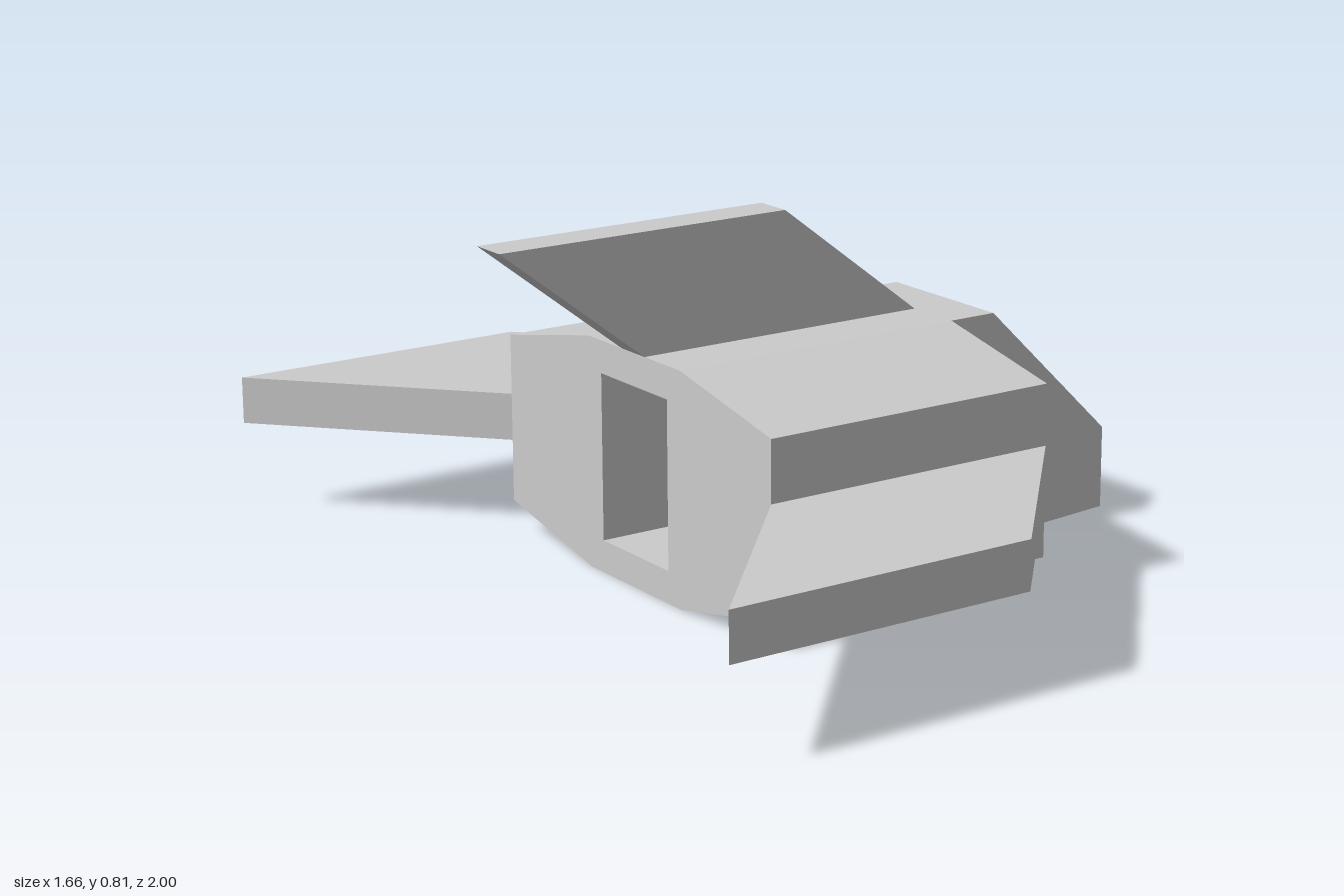
import * as THREE from 'three';

const material = new THREE.MeshStandardMaterial({ color: 0xcccccc, flatShading: true });

const points = (list) => list.map(([a, b]) => new THREE.Vector2(a, b));

function extrude(outline, depth, holes = []) {
  const shape = new THREE.Shape(points(outline));
  for (const hole of holes) shape.holes.push(new THREE.Path(points(hole)));
  return new THREE.ExtrudeGeometry(shape, { depth, bevelEnabled: false });
}

function addPart(group, name, geometry) {
  const mesh = new THREE.Mesh(geometry, material);
  mesh.name = name;
  group.add(mesh);
  return mesh;
}

export function createModel() {
  const model = new THREE.Group();
  model.name = 'spacecraft';
  const back = -0.39, front = 0.34, split = -0.04;

  // Hull: eight-sided section in (z, y), extruded along x in two slabs.
  const section = [
    [-0.18, 0], [0.18, 0], [0.515, 0.07], [0.515, 0.465],
    [0.18, 0.535], [-0.18, 0.535], [-0.515, 0.465], [-0.515, 0.07],
  ];
  // The front slab holds two intakes, the rear slab one exhaust; each slab closes the other's openings.
  const intakes = [-1, 1].map((s) => [
    [s * 0.225, 0.05], [s * 0.47, 0.107], [s * 0.47, 0.43], [s * 0.225, 0.488],
  ]);
  const exhaust = [[-0.13, 0.075], [0.13, 0.075], [0.13, 0.46], [-0.13, 0.46]];
  addPart(model, 'frontHull',
    extrude(section, front - split, intakes).rotateY(Math.PI / 2).translate(split, 0, 0));
  addPart(model, 'rearHull',
    extrude(section, split - back, [exhaust]).rotateY(Math.PI / 2).translate(back, 0, 0));

  // Nose: a box with three stations along x, the last one lower and narrower.
  const stations = [
    { x: front, half: 0.18, top: 0.535 },
    { x: 0.46, half: 0.18, top: 0.535 },
    { x: 0.83, half: 0.137, top: 0.195 },
  ];
  const nose = new THREE.BoxGeometry(2, 1, 2, 2, 1, 1);
  const pos = nose.attributes.position;
  for (let i = 0; i < pos.count; i++) {
    const s = stations[Math.round(pos.getX(i)) + 1];
    pos.setXYZ(i, s.x, pos.getY(i) > 0 ? s.top : 0, pos.getZ(i) * s.half);
  }
  nose.computeVertexNormals();
  addPart(model, 'nose', nose);

  // Swept wings, drawn in (x, z) and extruded down.
  for (const [name, s] of [['frontWing', 1], ['rearWing', -1]]) {
    const plan = [[back, s * 0.515], [front, s * 0.515], [-0.1, s], [-0.83, s]];
    addPart(model, name, extrude(plan, 0.11).rotateX(Math.PI / 2).translate(0, 0.325, 0));
  }

  // Swept tail fin on the spine.
  const finSide = [[back, 0.535], [front, 0.535], [-0.02, 0.81], [-0.745, 0.81]];
  addPart(model, 'tailFin', extrude(finSide, 0.09).translate(0, 0, -0.045));

  return model;
}
